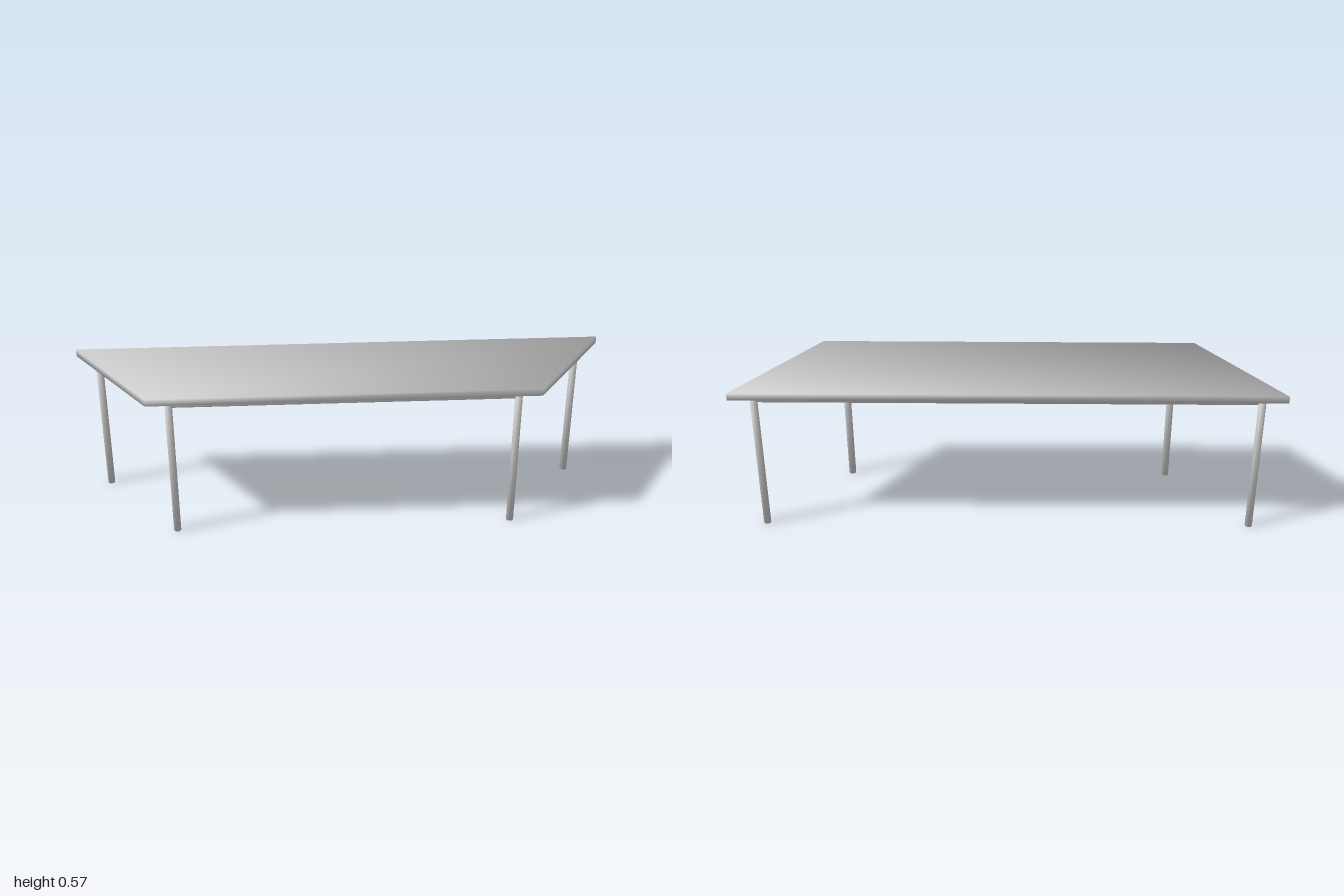
import * as THREE from 'three';

const material = new THREE.MeshStandardMaterial({ color: 0xcccccc });

// Upright prism over a convex outline of [x, z] points (counter-clockwise from above).
// Corners share one normal: the sum of the faces meeting there, so all edges shade softly.
function softPrism(outline, y0, y1) {
  const n = outline.length;
  const sideNormal = (i) => {
    const [ax, az] = outline[i % n], [bx, bz] = outline[(i + 1) % n];
    return new THREE.Vector3(az - bz, 0, bx - ax).normalize();
  };
  const positions = [], normals = [], index = [];
  for (let i = 0; i < n; i++) {
    const [x, z] = outline[i];
    for (const [y, up] of [[y0, -1], [y1, 1]]) {
      const normal = sideNormal(i).add(sideNormal(i + n - 1));
      normal.y = up;
      positions.push(x, y, z);
      normals.push(...normal.normalize().toArray());
    }
    const a = 2 * i, b = 2 * ((i + 1) % n);
    index.push(a, b, b + 1, a, b + 1, a + 1);
    if (i > 0 && i < n - 1) index.push(1, a + 1, b + 1, 0, b, a);
  }
  const geometry = new THREE.BufferGeometry();
  geometry.setAttribute('position', new THREE.Float32BufferAttribute(positions, 3));
  geometry.setAttribute('normal', new THREE.Float32BufferAttribute(normals, 3));
  geometry.setIndex(index);
  return geometry;
}

// Trapezoid with its long edge at the back
const trapezoid = (front, back, z) => [[-front, z], [front, z], [back, -z], [-back, -z]];

function circle(cx, cz, radius, segments) {
  return Array.from({ length: segments }, (_, i) => {
    const t = (i / segments) * Math.PI * 2;
    return [cx + radius * Math.cos(t), cz - radius * Math.sin(t)];
  });
}

export function createModel() {
  const table = new THREE.Group();
  table.name = 'trapezoidTable';
  const add = (name, geometry) => {
    const mesh = new THREE.Mesh(geometry, material);
    mesh.name = name;
    table.add(mesh);
  };

  const topY = 0.572, undersideY = 0.545, apronY = 0.52;
  const legZ = 0.18, frontLegX = 0.63, backLegX = 0.912;

  add('tableTop', softPrism(trapezoid(0.71, 1, 0.212), undersideY, topY));

  // Shallow apron between the legs
  add('apron', softPrism(trapezoid(frontLegX, backLegX, legZ), apronY, undersideY));

  // Round legs at the four corners
  for (const side of [1, -1]) {
    const label = side > 0 ? 'Left' : 'Right';
    add('front' + label + 'Leg', softPrism(circle(side * frontLegX, legZ, 0.0135, 24), 0, undersideY));
    add('back' + label + 'Leg', softPrism(circle(side * backLegX, -legZ, 0.0135, 24), 0, undersideY));
  }
  return table;
}
